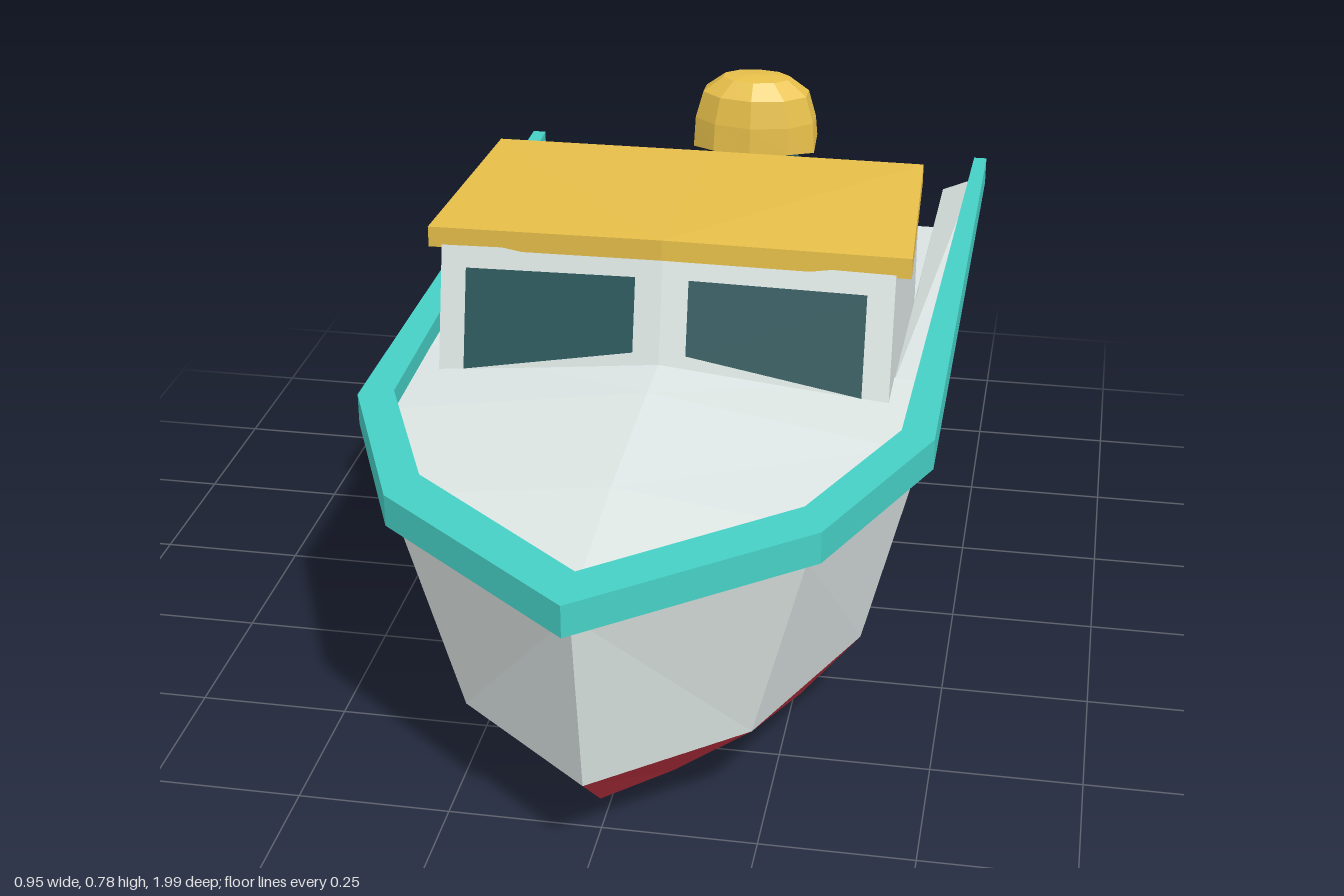
import * as THREE from 'three';

const material = (name, color) => {
  const m = new THREE.MeshStandardMaterial({ color, side: THREE.DoubleSide, flatShading: true });
  m.name = name;
  return m;
};

export function createModel() {
  const boat = new THREE.Group();
  boat.name = 'motorBoat';
  const grey = material('paleGrey', 0xdde6e4);
  const red = material('bottomRed', 0xc83645);
  const teal = material('teal', 0x46d0c6);
  const gold = material('gold', 0xe8c04a);
  const dark = material('darkGlass', 0x2a565b);

  // Flat polygons (counter-clockwise), optionally mirrored across x = 0
  function panels(name, mat, polys, mirror = true) {
    const pos = [];
    const fan = p => {
      for (let i = 1; i < p.length - 1; i++) pos.push(...p[0], ...p[i], ...p[i + 1]);
    };
    polys.forEach(p => {
      fan(p);
      // Reversed about the first corner, so both sides split along the same diagonal
      if (mirror) fan([p[0], ...p.slice(1).reverse()].map(([x, y, z]) => [-x, y, z]));
    });
    const g = new THREE.BufferGeometry();
    g.setAttribute('position', new THREE.Float32BufferAttribute(pos, 3));
    g.computeVertexNormals();
    const mesh = new THREE.Mesh(g, mat);
    mesh.name = name;
    boat.add(mesh);
  }

  // Hull: half stations from bow to stern, each sheer, waterline, chine, keel
  const stations = [
    [[0, 0.505, 0.94], [0, 0.172, 0.88], [0, 0.062, 0.755], [0, 0.035, 0.63]],
    [[0.315, 0.505, 0.72], [0.23, 0.172, 0.69], [0.1, 0.06, 0.655], [0, 0.035, 0.63]],
    [[0.45, 0.505, 0.38], [0.367, 0.172, 0.38], [0.27, 0.06, 0.4], [0, 0.034, 0.2]],
    [[0.45, 0.505, -0.89], [0.378, 0.19, -0.975], [0.27, 0.06, -0.975], [0, 0.003, -0.975]],
  ];
  const strip = row => stations.slice(1).map((b, i) => {
    const a = stations[i];
    return [a[row], a[row + 1], b[row + 1], b[row]];
  });
  panels('hullSides', grey, strip(0));
  panels('hullBottom', red, [...strip(1), ...strip(2)]);

  // Stern: transom, its red foot and the sloping corners
  const [sheer, water, chine, keel] = stations[3];
  const flip = ([x, y, z]) => [-x, y, z];
  const corner = [0.37, 0.365, -0.975];
  const wallTop = [0.388, 0.475, -0.915];
  panels('transom', grey, [[flip(corner), corner, water, chine, flip(chine), flip(water)]], false);
  panels('transomFoot', red, [[chine, keel, flip(chine)]], false);
  panels('sternCorners', grey, [[sheer, water, corner], [sheer, corner, wallTop]]);

  // Gunwale rail
  const outer = [[0, 0.998], [0.335, 0.725], [0.475, 0.395], [0.475, -0.89]];
  const inner = [[0, 0.9], [0.3, 0.65], [0.42, 0.37], [0.45, -0.89]];
  const at = ([x, z], y) => [x, y, z];
  const top = 0.558, low = 0.505;
  const rail = [[at(inner[3], top), at(outer[3], top), at(outer[3], low), at(inner[3], low)]];
  for (let i = 0; i < 3; i++) {
    const [a, b, c, d] = [outer[i], outer[i + 1], inner[i], inner[i + 1]];
    rail.push(
      [at(c, top), at(a, top), at(b, top), at(d, top)],
      [at(a, top), at(a, low), at(b, low), at(b, top)],
      [at(c, top), at(d, top), at(d, low), at(c, low)],
      [at(c, low), at(d, low), at(b, low), at(a, low)]);
  }
  panels('gunwaleRail', teal, rail);

  // Crowned foredeck, side decks, cockpit walls and a floor falling aft
  const edge = i => at(inner[i], 0.525);
  panels('foredeck', grey, [
    [edge(0), edge(1), [0, 0.558, 0.64]],
    [[0, 0.558, 0.64], edge(1), edge(2), [0, 0.575, 0.34]],
    [[0, 0.575, 0.34], edge(2), [0.427, 0.525, 0.12], [0, 0.58, 0.12]],
  ]);
  panels('sideDecks', grey, [
    [[0.385, 0.525, 0.13], [0.427, 0.525, 0.13], [0.45, 0.51, -0.89], wallTop],
  ]);
  const floorEdge = [0.382, 0.44, -0.26];
  panels('cockpitWalls', grey, [[[0.39, 0.525, -0.26], wallTop, corner, floorEdge]]);
  panels('cockpitFloor', grey, [[[0, 0.44, -0.26], floorEdge, corner, [0, 0.365, -0.975]]]);

  // Cabin with a raked, V-shaped windscreen
  const front = (x, y, out = 0) => [x, y, 0.245 - 0.25 * (y - 0.55) - 0.08 * x + out];
  const w = 0.385, back = -0.275;
  panels('cabin', grey, [
    [front(0, 0.54), front(w, 0.5), front(w, 0.738), front(0, 0.757)],
    [front(w, 0.738), front(w, 0.5), [w, 0.5, back], [w, 0.738, back]],
    [[0, 0.738, back], [w, 0.738, back], [w, 0.43, back], [0, 0.43, back]],
  ]);
  panels('windscreen', dark, [
    [front(0.045, 0.595, 0.005), front(0.34, 0.537, 0.005),
      front(0.34, 0.706, 0.005), front(0.045, 0.719, 0.005)],
  ]);
  panels('rearWindow', dark, [
    [[0, 0.702, back - 0.004], [0.356, 0.702, back - 0.004],
      [0.356, 0.537, back - 0.004], [0, 0.537, back - 0.004]],
  ]);

  // Roof slab, peaked at the front and flat at the back
  const roof = [[0, 0.788, 0.205], [0.41, 0.766, 0.16], [0.39, 0.766, -0.28], [0, 0.767, -0.28]];
  const under = roof.map(([x, y, z]) => [x, y - 0.036, z]);
  panels('roof', gold, [roof, [...under].reverse(),
    ...[0, 1, 2].map(i => [roof[i], under[i], under[i + 1], roof[i + 1]])]);

  // Small figure seated on the stern, looking aft
  const figure = new THREE.Group();
  figure.name = 'figure';
  figure.position.set(-0.003, 0, -0.89);
  boat.add(figure);
  function part(name, geo, mat, x, y, z, rx = 0, rz = 0) {
    const m = new THREE.Mesh(geo, mat);
    m.name = name;
    m.position.set(x, y, z);
    m.rotation.set(rx, 0, rz);
    figure.add(m);
  }
  const box = (x, y, z) => new THREE.BoxGeometry(x, y, z);

  // Faceted hair falling to the shoulders, with a ragged hem
  const profile = [[0.132, 0.56], [0.128, 0.62], [0.112, 0.675], [0.07, 0.706], [0, 0.711]]
    .map(p => new THREE.Vector2(...p));
  const hair = new THREE.LatheGeometry(profile, 10);
  const hp = hair.attributes.position;
  for (let i = 0; i < hp.count; i += profile.length) {
    const column = (i / profile.length) % 10;
    hp.setY(i, 0.567 - 0.1 * hp.getZ(i) + (column % 2 ? 0.008 : -0.006));
  }
  hair.scale(1, 1, 0.64);
  part('hair', hair, gold, 0, 0, 0);
  part('hairLock', box(0.035, 0.045, 0.01), gold, -0.02, 0.635, -0.088, 0.4);
  part('head', new THREE.IcosahedronGeometry(0.055, 1), grey, 0, 0.62, 0);

  // Coat with edging, sleeves and hanging legs
  part('torso', new THREE.CylinderGeometry(0.042, 0.06, 0.14, 6), grey, 0, 0.5, -0.025, 0.12);
  part('hem', new THREE.CylinderGeometry(0.066, 0.072, 0.02, 6), teal, 0, 0.426, -0.033);
  part('coatStripe', box(0.016, 0.12, 0.008), teal, 0, 0.5, -0.08, 0.25);
  for (const s of [-1, 1]) {
    part('coatEdge', box(0.01, 0.12, 0.06), teal, s * 0.05, 0.495, -0.025, 0.12, s * 0.15);
    part('sleeve', box(0.034, 0.09, 0.046), dark, s * 0.076, 0.498, -0.022, 0.1, s * 0.35);
    part('cuff', box(0.037, 0.01, 0.049), teal, s * 0.092, 0.456, -0.027, 0.1, s * 0.35);
    part('leg', box(0.03, 0.05, 0.03), dark, s * 0.026, 0.402, -0.07, 0.4);
    part('foot', box(0.038, 0.03, 0.044), teal, s * 0.026, 0.372, -0.08, 0.5);
  }
  return boat;
}
